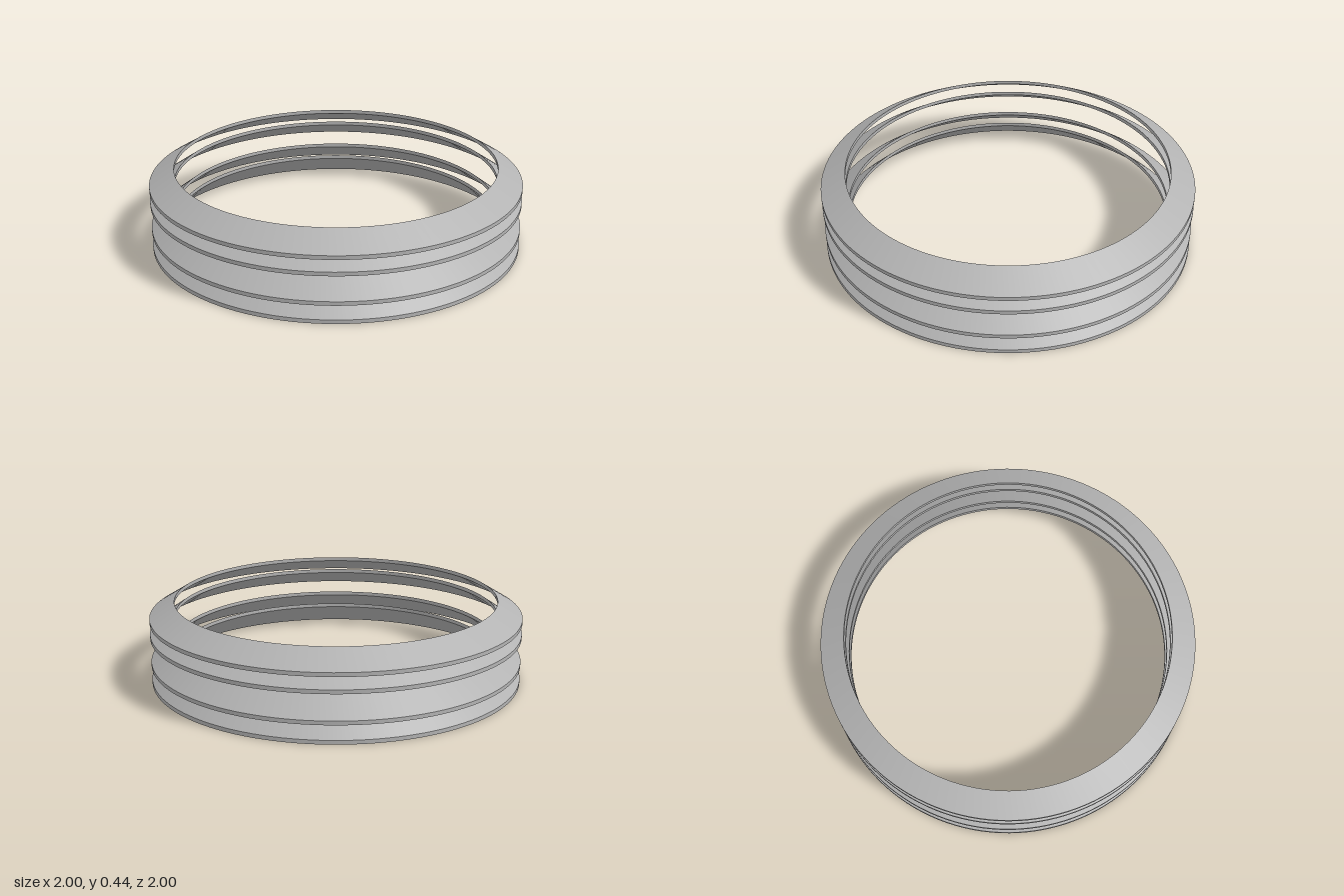
import * as THREE from 'three';
import { toCreasedNormals } from 'three/addons/utils/BufferGeometryUtils.js';

const OUTER = 1;
const INNER = 0.866;
const WALL = 0.021; // height of the vertical rim walls

// Conical spring washer: a slanted band turned around the y axis
function washerGeometry(bottom, top) {
  const profile = [
    [OUTER, bottom],
    [OUTER, bottom + WALL],
    [INNER, top],
    [INNER, top - WALL],
    [OUTER, bottom],
  ].map(([r, y]) => new THREE.Vector2(r, y));
  return toCreasedNormals(new THREE.LatheGeometry(profile, 128), 0.5);
}

export function createModel() {
  const model = new THREE.Group();
  model.name = 'discSpringStack';

  const steel = new THREE.MeshStandardMaterial({ color: 0xb3b3b3 });
  steel.name = 'steel grey';

  // Outer bottom edge and inner top edge of each washer, flatter towards the top
  const washers = [
    ['bottomWasher', 0, 0.143],
    ['lowerMiddleWasher', 0.097, 0.22],
    ['upperMiddleWasher', 0.251, 0.363],
    ['topWasher', 0.335, 0.438],
  ];
  for (const [name, bottom, top] of washers) {
    const washer = new THREE.Mesh(washerGeometry(bottom, top), steel);
    washer.name = name;
    model.add(washer);
  }
  return model;
}
